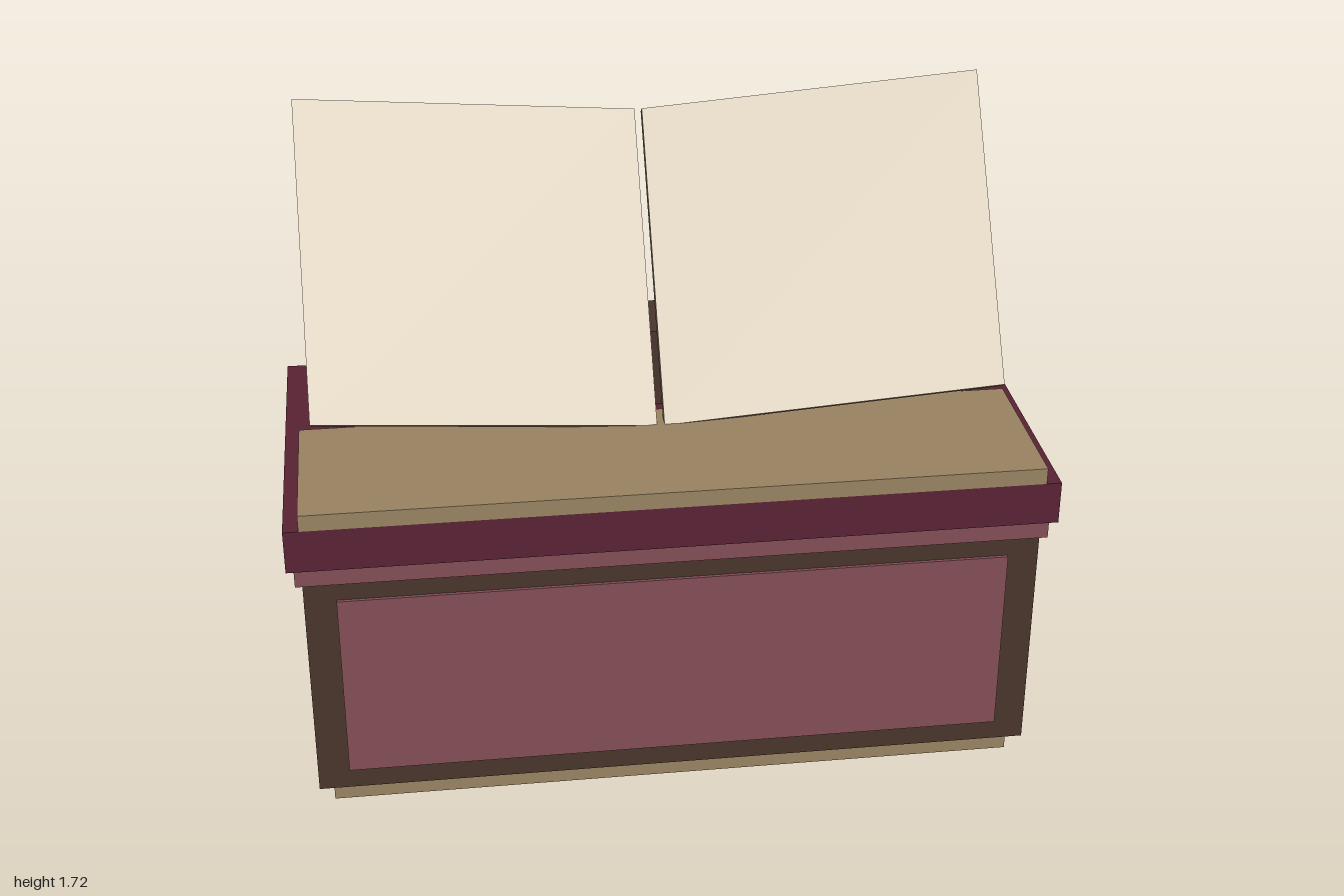
import * as THREE from 'three';

function material(name, color) {
  const m = new THREE.MeshStandardMaterial({ color });
  m.name = name;
  return m;
}

export function createModel() {
  const brown = material('dark wood', 0x4a352c);
  const burgundy = material('burgundy', 0x5a2234);
  const rose = material('dusty rose', 0x844f58);
  const tan = material('tan', 0x998462);
  const cream = material('cream page', 0xc5b79f);

  const group = new THREE.Group();
  group.name = 'bookStand';

  // Axis-aligned block centred on x, given its y and z ranges
  function block(name, mat, halfWidth, y0, y1, z0, z1) {
    const geo = new THREE.BoxGeometry(halfWidth * 2, y1 - y0, z1 - z0);
    geo.translate(0, (y0 + y1) / 2, (z0 + z1) / 2);
    const mesh = new THREE.Mesh(geo, mat);
    mesh.name = name;
    group.add(mesh);
  }

  // Cabinet, from the floor up
  block('plinth', tan, 0.925, 0, 0.055, -0.41, 0.41);
  block('cabinet', brown, 0.963, 0.055, 0.7, -0.436, 0.436);
  block('frontPanel', rose, 0.88, 0.115, 0.645, 0.436, 0.445);
  block('trim', rose, 0.981, 0.7, 0.755, -0.45, 0.45);
  block('counterTop', burgundy, 1, 0.755, 0.873, -0.468, 0.468);
  block('ledge', tan, 0.96, 0.873, 0.918, 0.01, 0.468);
  block('bookRest', brown, 0.825, 0.873, 1.095, -0.305, -0.105);

  // Open book: two leaning slabs whose outer edges rise and come forward
  function bookHalf(name, side) {
    const width = 0.915, height = 0.867, depth = 0.03;
    const geo = new THREE.BoxGeometry(width, height, depth);
    geo.translate(side * (0.01 + width / 2), height / 2, -depth / 2);
    geo.rotateX(-0.6);
    const p = geo.attributes.position;
    for (let i = 0; i < p.count; i++) {
      const out = Math.abs(p.getX(i)) - 0.01;
      p.setY(i, p.getY(i) + 0.915 + 0.093 * out);
      p.setZ(i, p.getZ(i) + 0.1 + 0.047 * out);
    }
    geo.computeVertexNormals();
    // Tan edges, cream page in front, burgundy cover behind
    const mesh = new THREE.Mesh(geo, [tan, tan, tan, tan, cream, burgundy]);
    mesh.name = name;
    group.add(mesh);
  }
  bookHalf('leftBookHalf', 1);
  bookHalf('rightBookHalf', -1);

  return group;
}
